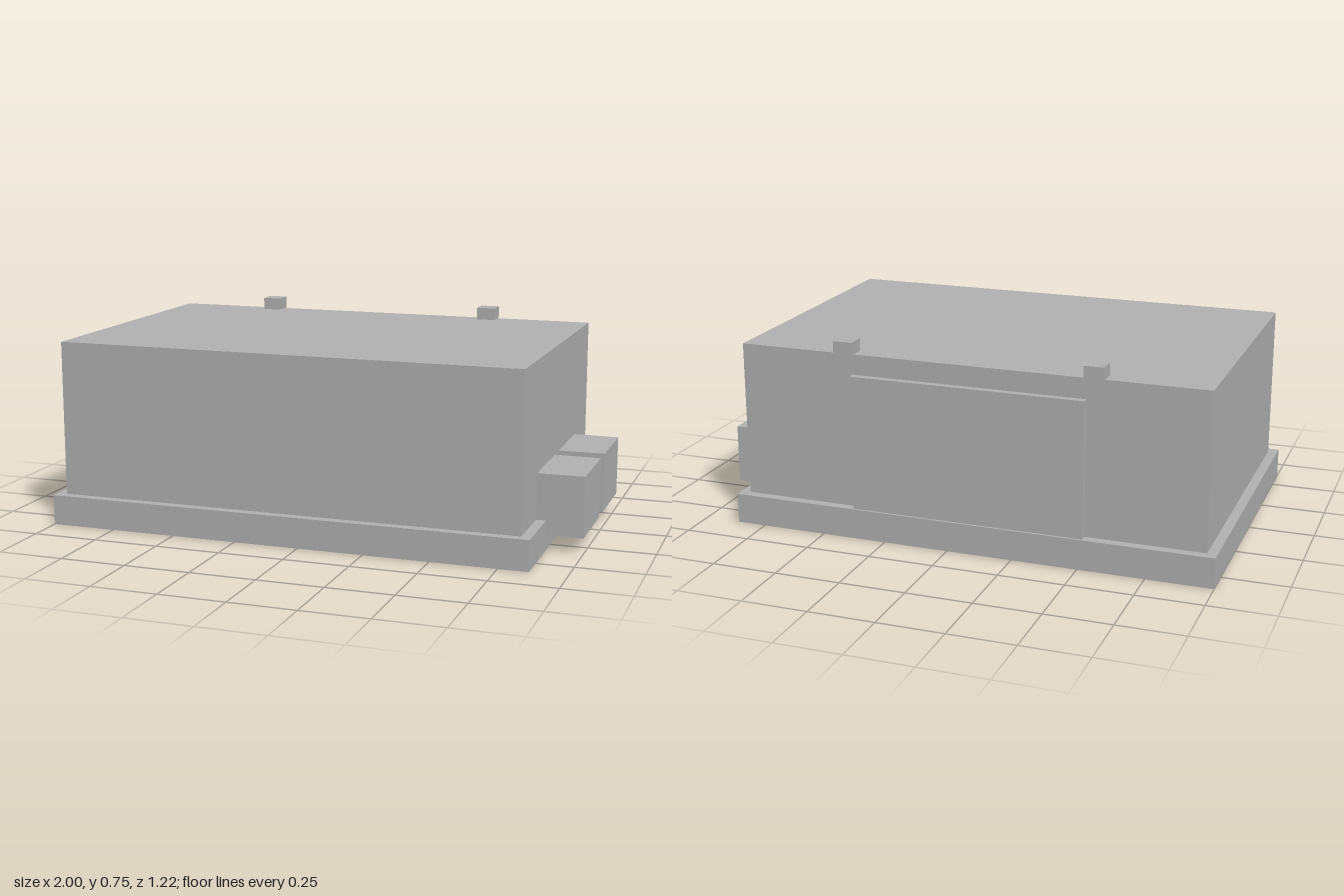
import * as THREE from 'three';

export function createModel() {
  const model = new THREE.Group();
  const grey = new THREE.MeshStandardMaterial({ color: 0xb2b2b2 });
  grey.name = 'plain grey';

  // Box given by its extents along each axis
  function block(name, [x0, x1], [y0, y1], [z0, z1]) {
    const mesh = new THREE.Mesh(new THREE.BoxGeometry(x1 - x0, y1 - y0, z1 - z0), grey);
    mesh.position.set((x0 + x1) / 2, (y0 + y1) / 2, (z0 + z1) / 2);
    mesh.name = name;
    model.add(mesh);
  }

  const middle = -0.069; // centre of the building along x

  // Foundation slab and main hall
  block('foundation', [-1, 0.862], [0, 0.115], [-0.608, 0.608]);
  block('mainBody', [-0.963, 0.825], [0.115, 0.707], [-0.572, 0.572]);

  // Large door panel on the back wall
  block('backDoor', [middle - 0.447, middle + 0.447], [0.115, 0.63], [-0.599, -0.572]);

  // Paired roof-edge lamps above the door and side units on the left wall
  for (const side of [-1, 1]) {
    const x = middle + side * 0.476;
    block(side < 0 ? 'rightLamp' : 'leftLamp', [x - 0.037, x + 0.037], [0.699, 0.755], [-0.589, -0.516]);
    const z = side * 0.19;
    block(side < 0 ? 'backSideUnit' : 'frontSideUnit', [0.825, 1], [0.06, 0.289], [z - 0.152, z + 0.152]);
  }

  return model;
}
